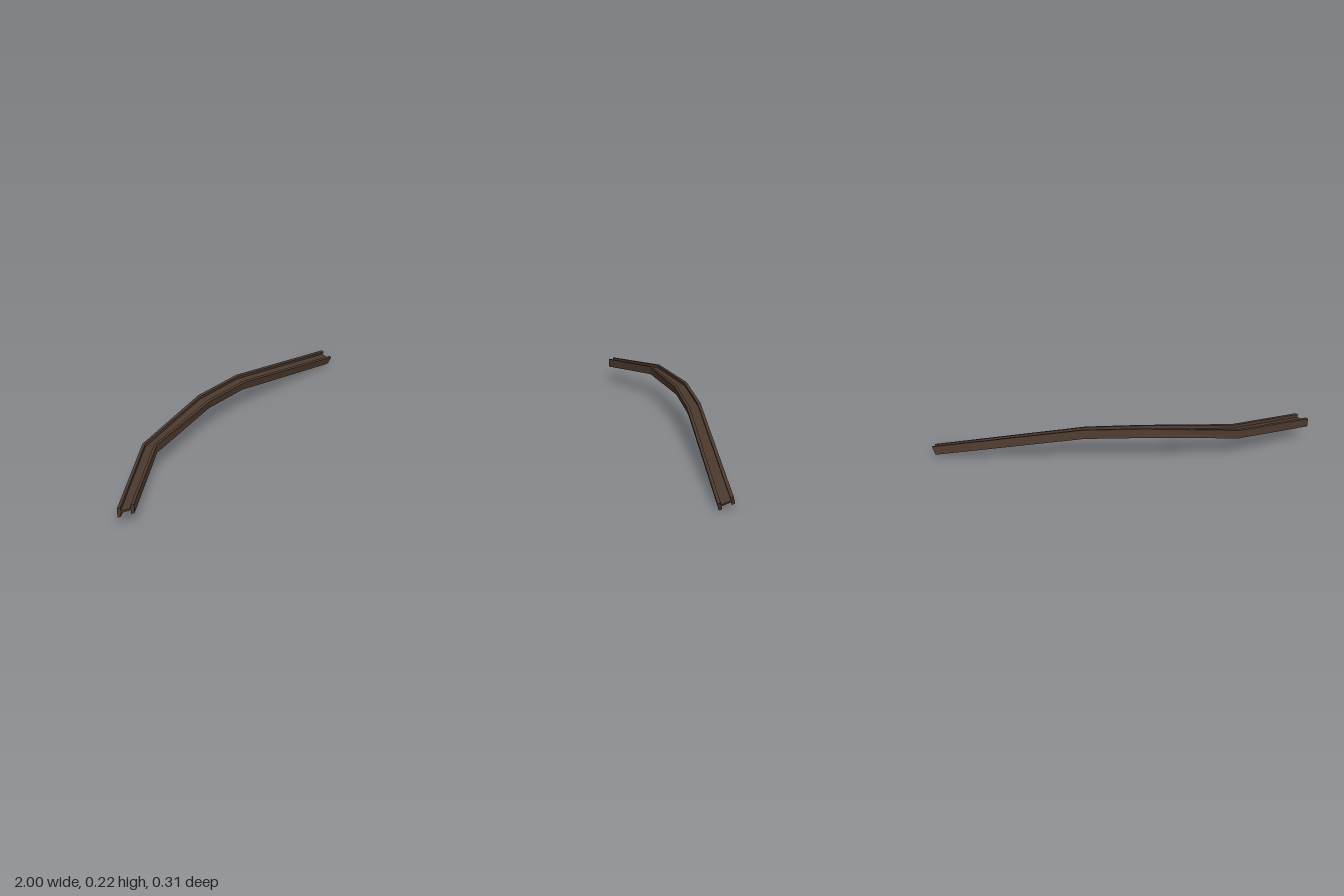
import * as THREE from 'three';

// Stations along the bent beam: front top corner, back top corner, offset down to the bottom edge
const stations = [
  [[-0.936, 0.152, 0.154], [-0.998, 0.144, 0.11], [0, -0.048, 0]],
  [[-0.567, 0.195, -0.035], [-0.6, 0.194, -0.098], [0, -0.046, -0.002]],
  [[-0.107, 0.211, -0.072], [-0.118, 0.228, -0.143], [0, -0.046, -0.011]],
  [[0.19, 0.196, -0.065], [0.203, 0.215, -0.134], [-0.01, -0.045, -0.011]],
  [[0.998, 0.044, 0.006], [1.0, 0.07, -0.064], [-0.018, -0.041, -0.013]],
].map((s) => s.map((p) => new THREE.Vector3(...p)));

// H section: u runs front to back, v runs from the bottom (-1) to the top (0)
const T = 0.2, WEB_TOP = -0.36, WEB_BOTTOM = -0.58;
const section = [
  [0, 0], [0, -1], [T, -1], [T, WEB_BOTTOM], [1 - T, WEB_BOTTOM], [1 - T, -1],
  [1, -1], [1, 0], [1 - T, 0], [1 - T, WEB_TOP], [T, WEB_TOP], [T, 0],
].map(([u, v]) => new THREE.Vector2(u, v));

function beamGeometry() {
  const rings = stations.map(([front, back, drop]) =>
    section.map(({ x, y }) => front.clone().lerp(back, x).addScaledVector(drop, -y)));
  const pos = [];
  const tri = (...pts) => pts.forEach((p) => pos.push(p.x, p.y, p.z));
  // Long sides
  for (let s = 0; s < rings.length - 1; s++) {
    for (let i = 0; i < section.length; i++) {
      const j = (i + 1) % section.length;
      const a = rings[s][i], b = rings[s][j], c = rings[s + 1][j], d = rings[s + 1][i];
      tri(a, b, c);
      tri(a, c, d);
    }
  }
  // End caps
  const first = rings[0], last = rings[rings.length - 1];
  for (const [a, b, c] of THREE.ShapeUtils.triangulateShape(section, [])) {
    tri(last[a], last[b], last[c]);
    tri(first[a], first[c], first[b]);
  }
  const geometry = new THREE.BufferGeometry();
  geometry.setAttribute('position', new THREE.Float32BufferAttribute(pos, 3));
  geometry.computeVertexNormals();
  return geometry;
}

export function createModel() {
  const group = new THREE.Group();
  group.name = 'bentBeam';
  const rustBrown = new THREE.MeshStandardMaterial({ color: 0x4b392e });
  rustBrown.name = 'rustBrown';
  const beam = new THREE.Mesh(beamGeometry(), rustBrown);
  beam.name = 'hBeam';
  group.add(beam);
  return group;
}
